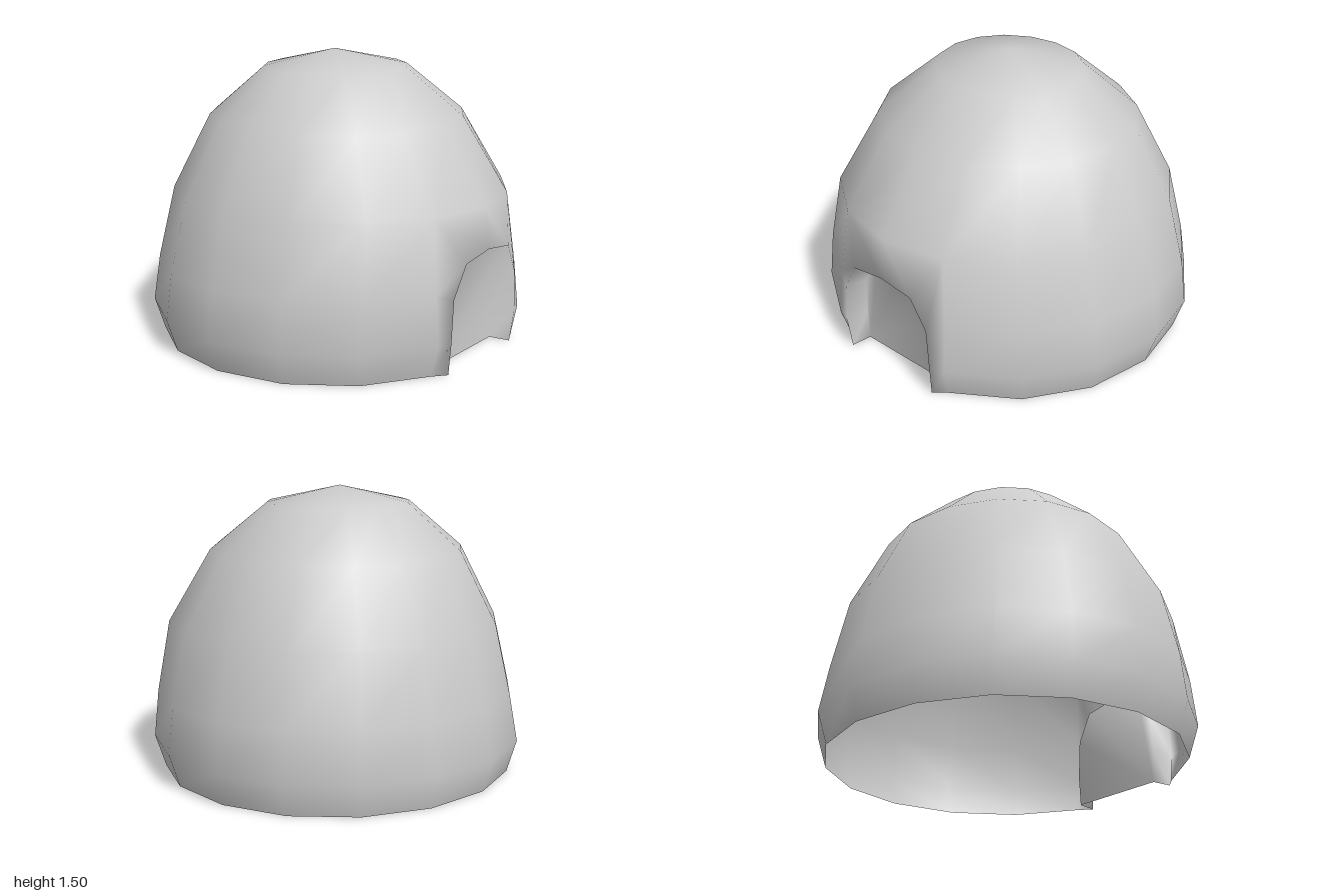
import * as THREE from 'three';
import { mergeVertices } from 'three/addons/utils/BufferGeometryUtils.js';

const SIDES = 16;

// Dome rings: height, half width, depth to the front, depth to the back
const RINGS = [
  [0, 0.945, 0.945, 0.91],
  [0.17, 1.0, 1.0, 0.96],
  [0.42, 0.975, 0.975, 0.91],
  [0.79, 0.88, 0.935, 0.83],
  [1.17, 0.68, 0.69, 0.64],
  [1.415, 0.39, 0.38, 0.36],
];
const DOOR_ROWS = 3;

// Left half of the doorway arch, from the ground to the crown
const ARCH = [
  [-0.295, 0, 0.93],
  [-0.305, 0.17, 0.95],
  [-0.29, 0.39, 0.95],
  [-0.2, 0.55, 0.96],
  [0, 0.58, 0.965],
];

function createDome() {
  const points = [];
  const index = [];
  const add = (x, y, z) => points.push(x, y, z) / 3 - 1;
  const quad = (a, b, c, d) => index.push(a, b, c, a, c, d);

  // Rings of the dome, starting at the front and turning towards +x
  const rings = RINGS.map(([y, rx, front, back]) =>
    Array.from({ length: SIDES }, (_, i) => {
      const a = (i / SIDES) * Math.PI * 2;
      const c = Math.cos(a);
      return add(Math.sin(a) * rx, y, c * (c > 0 ? front : back));
    }));

  // Wall, leaving the two front columns open for the doorway
  for (let r = 0; r < rings.length - 1; r++) {
    for (let i = 0; i < SIDES; i++) {
      if (r < DOOR_ROWS && (i === 0 || i === SIDES - 1)) continue;
      const j = (i + 1) % SIDES;
      quad(rings[r][i], rings[r][j], rings[r + 1][j], rings[r + 1][i]);
    }
  }

  // Pointed cap
  const apex = add(0, 1.5, 0);
  const top = rings[rings.length - 1];
  top.forEach((v, i) => index.push(v, top[(i + 1) % SIDES], apex));

  // Doorway: opening in the wall, raised lip, then the sunken back panel
  const rows = rings.slice(0, DOOR_ROWS + 1);
  const opening = [
    ...rows.map((r) => r[SIDES - 1]),
    rings[DOOR_ROWS][0],
    ...rows.map((r) => r[1]).reverse(),
  ];
  const arch = [...ARCH, ...ARCH.slice(0, -1).reverse().map(([x, y, z]) => [-x, y, z])];
  const lip = arch.map(([x, y, z]) => add(x, y, z));
  const panel = arch.map(([x, y]) => add(x * 0.95, y * 0.96, 0.82));
  for (const [outer, inner] of [[opening, lip], [lip, panel]]) {
    for (let i = 0; i < outer.length - 1; i++) {
      quad(outer[i], inner[i], inner[i + 1], outer[i + 1]);
    }
  }
  for (let i = 1; i < panel.length - 1; i++) index.push(panel[0], panel[i + 1], panel[i]);

  const geometry = new THREE.BufferGeometry();
  geometry.setAttribute('position', new THREE.Float32BufferAttribute(points, 3));
  geometry.setIndex(index);
  const merged = mergeVertices(geometry); // also drops the unused front points
  merged.computeVertexNormals();
  return merged;
}

export function createModel() {
  const group = new THREE.Group();
  group.name = 'domeHut';
  // Open underneath, so the thin shell shows from both sides
  const material = new THREE.MeshStandardMaterial({ color: 0xcccccc, side: THREE.DoubleSide });
  const dome = new THREE.Mesh(createDome(), material);
  dome.name = 'domeWithDoorway';
  group.add(dome);
  return group;
}
